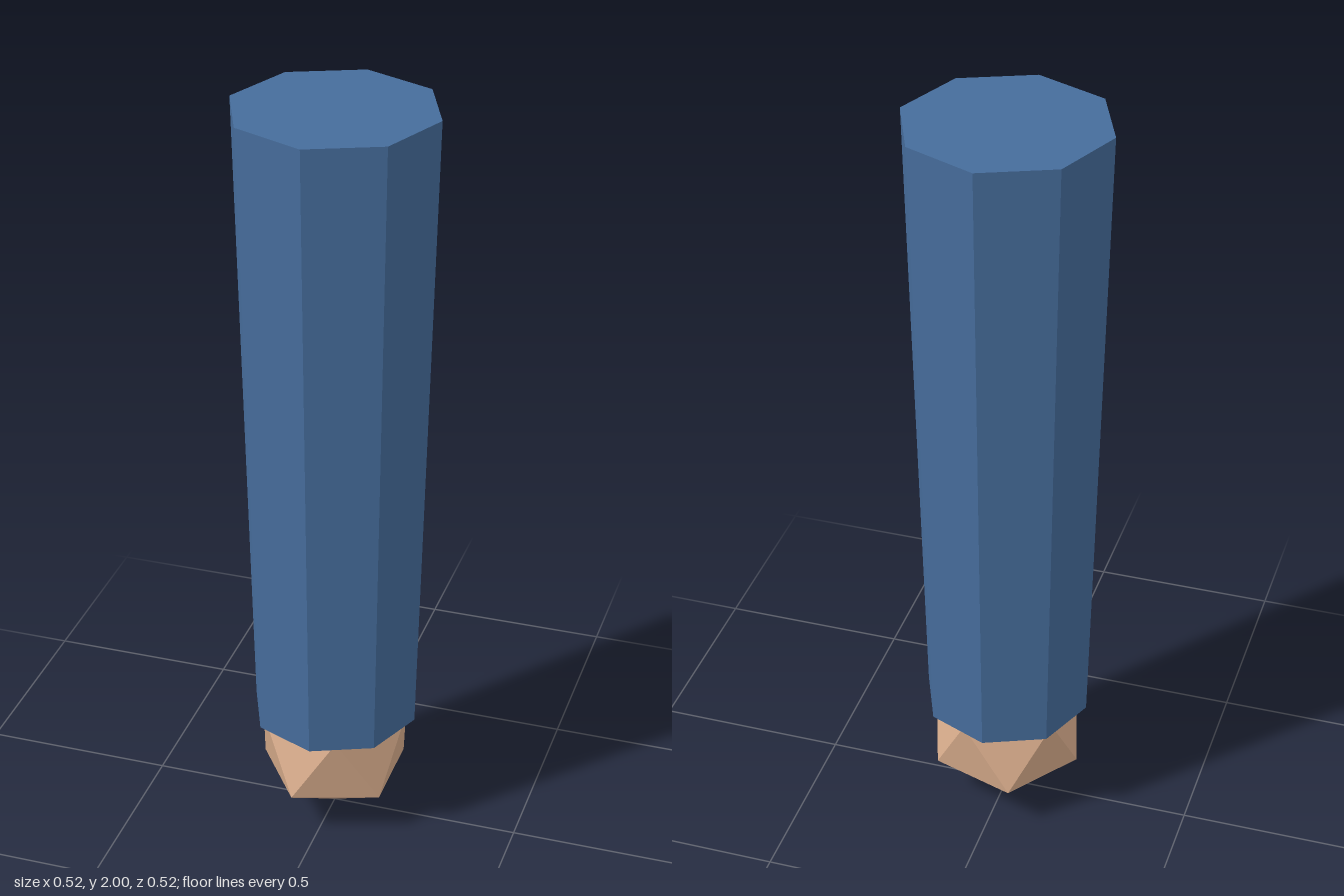
import * as THREE from 'three';

export function createModel() {
  const group = new THREE.Group();
  group.name = 'arm';

  const sleeveBlue = new THREE.MeshStandardMaterial({ color: 0x466d9c });
  sleeveBlue.name = 'sleeve blue';
  const skin = new THREE.MeshStandardMaterial({ color: 0xddb08f });
  skin.name = 'skin';
  sleeveBlue.flatShading = skin.flatShading = true;

  // Sleeve: eight-sided, narrowing towards the wrist
  const bottom = 0.307, top = 2;
  const sleeve = new THREE.Mesh(new THREE.CylinderGeometry(0.262, 0.22, top - bottom, 8), sleeveBlue);
  sleeve.name = 'sleeve';
  sleeve.position.y = (top + bottom) / 2;
  group.add(sleeve);

  // Hand: icosahedron standing on one corner, its top tucked into the sleeve
  const radius = 0.22;
  const handGeometry = new THREE.IcosahedronGeometry(radius, 0);
  handGeometry.rotateZ(-Math.atan(2 / (1 + Math.sqrt(5))));
  const hand = new THREE.Mesh(handGeometry, skin);
  hand.name = 'hand';
  hand.position.y = radius;
  group.add(hand);

  return group;
}
